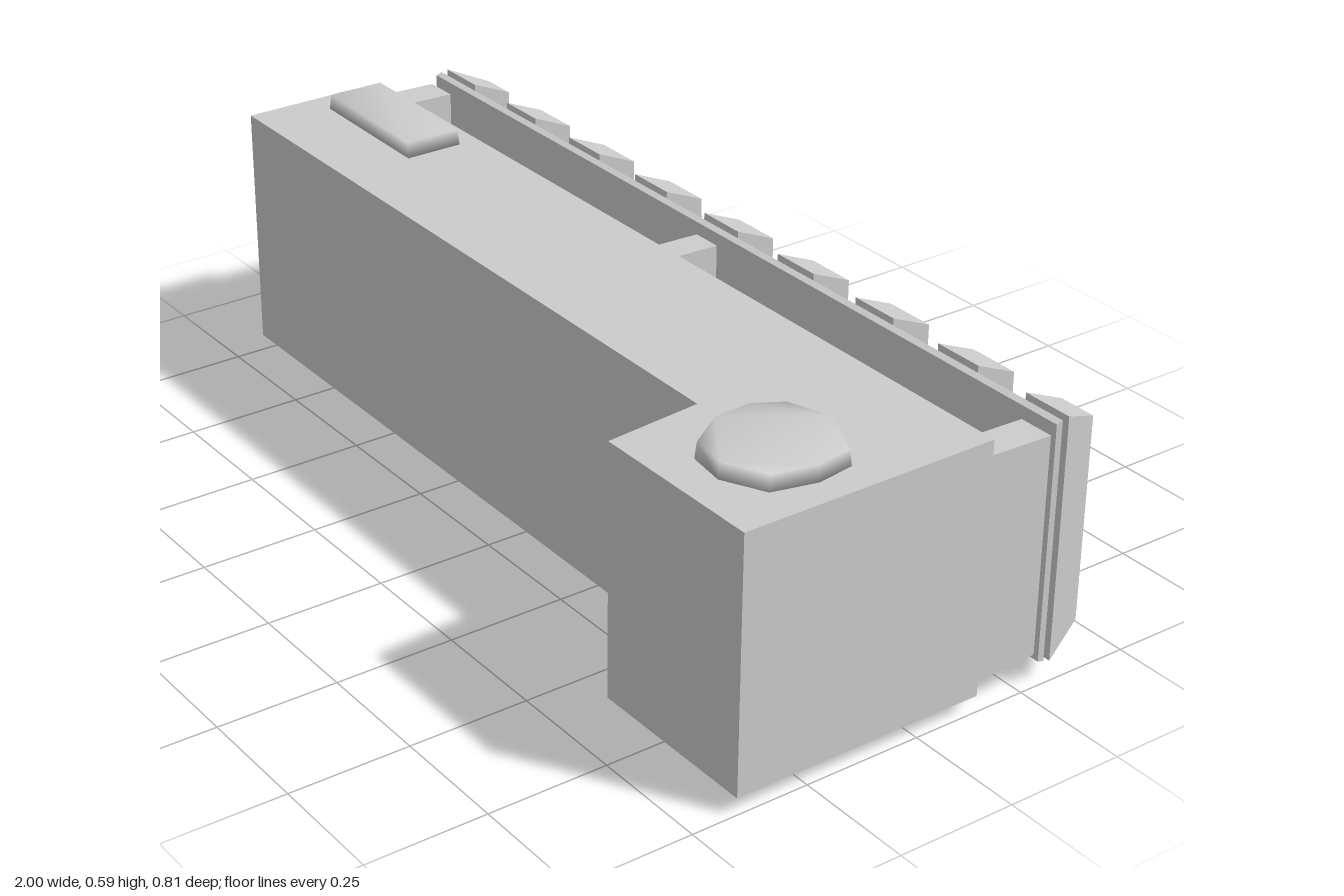
import * as THREE from 'three';
import { mergeVertices } from 'three/addons/utils/BufferGeometryUtils.js';

const material = new THREE.MeshStandardMaterial({ color: 0xcccccc });

function addMesh(group, name, geometry) {
  const mesh = new THREE.Mesh(geometry, material);
  mesh.name = name;
  group.add(mesh);
}

// Upright prism from a plan outline of [x, z] points
function prism(outline, bottom, top) {
  const shape = new THREE.Shape(outline.map(([x, z]) => new THREE.Vector2(x, z)));
  const g = new THREE.ExtrudeGeometry(shape, { depth: top - bottom, bevelEnabled: false });
  return g.rotateX(Math.PI / 2).translate(0, top, 0);
}

// Block between a front and a back rectangle, each [x0, x1, y0, y1, z]
function taperedBlock(front, back) {
  const g = new THREE.BoxGeometry(1, 1, 1);
  const p = g.attributes.position;
  for (let i = 0; i < p.count; i++) {
    const r = p.getZ(i) > 0 ? front : back;
    p.setXYZ(i, p.getX(i) < 0 ? r[0] : r[1], p.getY(i) < 0 ? r[2] : r[3], r[4]);
  }
  g.computeVertexNormals();
  return g;
}

// Low pad with softly shaded edges, narrowing slightly away from the body
function pad(outline, bottom, top, wideY) {
  let g = prism(outline, bottom, top);
  g.computeBoundingBox();
  const c = g.boundingBox.getCenter(new THREE.Vector3());
  const p = g.attributes.position;
  for (let i = 0; i < p.count; i++) {
    const s = Math.abs(p.getY(i) - wideY) < 0.01 ? 1 : 0.97;
    p.setX(i, c.x + (p.getX(i) - c.x) * s);
    p.setZ(i, c.z + (p.getZ(i) - c.z) * s);
  }
  g.deleteAttribute('normal');
  g.deleteAttribute('uv');
  g = mergeVertices(g);
  g.computeVertexNormals();
  return g;
}

export function createModel() {
  const model = new THREE.Group();
  model.name = 'ribbedBlock';
  const low = 0.035, high = 0.561;

  // L-shaped main body
  addMesh(model, 'body', prism([
    [-1, -0.14], [1, -0.14], [1, 0.405], [0.62, 0.405], [0.6, 0.198], [-1, 0.185],
  ], low, high));

  // Spacers between body and back plate
  for (const [x0, x1] of [[-1, -0.925], [-0.025, 0.04], [0.925, 1]]) {
    addMesh(model, 'spacer', taperedBlock(
      [x0, x1, 0.065, 0.53, -0.14], [x0, x1, 0.073, 0.526, -0.275]));
  }

  // Thin back plate
  addMesh(model, 'backPlate', taperedBlock(
    [-1, 1, 0.053, 0.544, -0.287], [-1, 1, 0.049, 0.548, -0.301]));

  // Row of ribs, the end ones slanted on their outer sides
  for (let i = -4; i <= 4; i++) {
    const x = i * 0.236;
    const x0 = i === -4 ? -1 : x - 0.055;
    const x1 = i === 4 ? 1 : x + 0.055;
    addMesh(model, 'rib', taperedBlock(
      [x0, x1, 0.044, 0.551, -0.316],
      [i === -4 ? -0.97 : x0, i === 4 ? 0.97 : x1, 0.085, 0.512, -0.406]));
  }

  // Long and rounded pads on the top and the underside
  const pads = {
    longPad: [[-0.92, -0.098], [-0.61, -0.094], [-0.61, 0.033], [-0.935, 0.027], [-0.935, 0]],
    roundPad: [[0.82, 0.07], [0.93, 0.12], [0.942, 0.2], [0.92, 0.29], [0.835, 0.333],
      [0.755, 0.322], [0.7, 0.24], [0.695, 0.16], [0.73, 0.1]],
  };
  for (const [name, outline] of Object.entries(pads)) {
    addMesh(model, name + 'Top', pad(outline, high, 0.594, high));
    addMesh(model, name + 'Bottom', pad(outline, 0, low, low));
  }
  return model;
}
